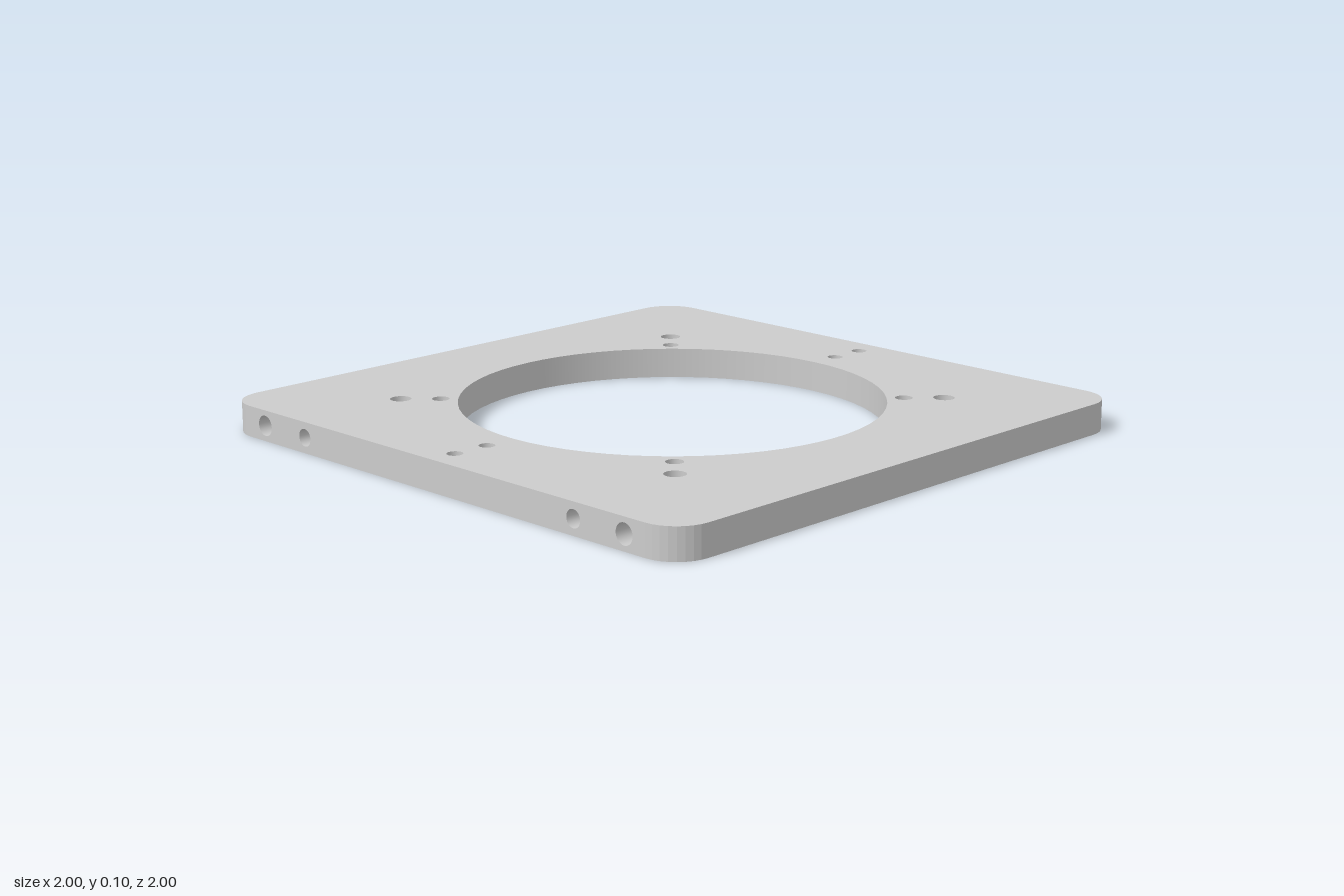
import * as THREE from 'three';

const T = 0.1;      // plate thickness
const R = 0.12;     // corner radius
const E = 1 - R;    // where the straight edges end

// Vertical through holes: [x, z, radius, sides]
const throughHoles = [[0, 0, 0.68, 64]];
for (const sx of [-1, 1]) {
  throughHoles.push([sx * 0.785, 0, 0.025, 24], [sx * 0.91, 0, 0.025, 24]);
  for (const sz of [-1, 1]) {
    throughHoles.push([sx * 0.61, sz * 0.61, 0.034, 24], [sx * 0.52, sz * 0.52, 0.028, 24]);
  }
}
// Blind holes drilled into each side edge: [z, radius]
const edgeHoles = [[-0.8, 0.033], [-0.6, 0.028], [0.6, 0.028], [0.8, 0.033]];
const EDGE_DEPTH = 0.25;

const circlePath = (x, y, r, n) => new THREE.Path().setFromPoints(
  Array.from({ length: n }, (_, i) => {
    const a = (i / n) * Math.PI * 2;
    return new THREE.Vector2(x + r * Math.cos(a), y + r * Math.sin(a));
  }));

export function createModel() {
  const group = new THREE.Group();
  const solid = new THREE.MeshStandardMaterial({ color: 0xcccccc, flatShading: true });
  const bore = new THREE.MeshStandardMaterial({ color: 0xcccccc, side: THREE.DoubleSide });

  const add = (name, geometry, material, x = 0, y = 0, z = 0) => {
    const mesh = new THREE.Mesh(geometry, material);
    mesh.name = name;
    mesh.position.set(x, y, z);
    group.add(mesh);
    return mesh;
  };

  // Top and bottom faces: rounded square with the through holes cut out
  const outline = new THREE.Shape();
  outline.absarc(E, E, R, 0, Math.PI / 2);
  outline.absarc(-E, E, R, Math.PI / 2, Math.PI);
  outline.absarc(-E, -E, R, Math.PI, Math.PI * 1.5);
  outline.absarc(E, -E, R, Math.PI * 1.5, Math.PI * 2);
  outline.holes = throughHoles.map(([x, z, r, n]) => circlePath(x, -z, r, n));
  const face = new THREE.ShapeGeometry(outline, 4);
  add('topFace', face, solid, 0, T).rotation.x = -Math.PI / 2;
  add('bottomFace', face, solid).rotation.x = Math.PI / 2;

  // Walls of the through holes
  throughHoles.forEach(([x, z, r, n], i) => {
    add(i === 0 ? 'centreOpening' : 'throughHole',
      new THREE.CylinderGeometry(r, r, T, n, 1, true), bore, x, T / 2, z);
  });

  // Plain front and back edges
  const plainEdge = new THREE.PlaneGeometry(2 * E, T);
  add('frontEdge', plainEdge, solid, 0, T / 2, 1);
  add('backEdge', plainEdge, solid, 0, T / 2, -1).rotation.y = Math.PI;

  // Rounded corners
  const corner = new THREE.CylinderGeometry(R, R, T, 8, 1, true, 0, Math.PI / 2);
  [[1, 1], [1, -1], [-1, -1], [-1, 1]].forEach(([sx, sz], i) => {
    add('corner', corner, solid, sx * E, T / 2, sz * E).rotation.y = i * Math.PI / 2;
  });

  // Side edges, each with four drilled holes ending in a cone
  const drilled = new THREE.Shape();
  drilled.moveTo(-E, -T / 2).lineTo(E, -T / 2).lineTo(E, T / 2).lineTo(-E, T / 2).closePath();
  drilled.holes = edgeHoles.map(([z, r]) => circlePath(z, 0, r, 24));
  const drilledEdge = new THREE.ShapeGeometry(drilled);
  for (const [side, name] of [[1, 'left'], [-1, 'right']]) {
    add(name + 'Edge', drilledEdge, solid, side, T / 2).rotation.y = side * Math.PI / 2;
    for (const [z, r] of edgeHoles) {
      const profile = [[r, 0], [r, EDGE_DEPTH], [r, EDGE_DEPTH], [0, EDGE_DEPTH + 0.6 * r]]
        .map(([px, py]) => new THREE.Vector2(px, py));
      const wall = new THREE.LatheGeometry(profile.slice(0, 2), 24);
      const tip = new THREE.LatheGeometry(profile.slice(2), 24);
      add(name + 'EdgeHole', wall, bore, side, T / 2, z).rotation.z = side * Math.PI / 2;
      add(name + 'EdgeHoleTip', tip, bore, side, T / 2, z).rotation.z = side * Math.PI / 2;
    }
  }
  return group;
}
